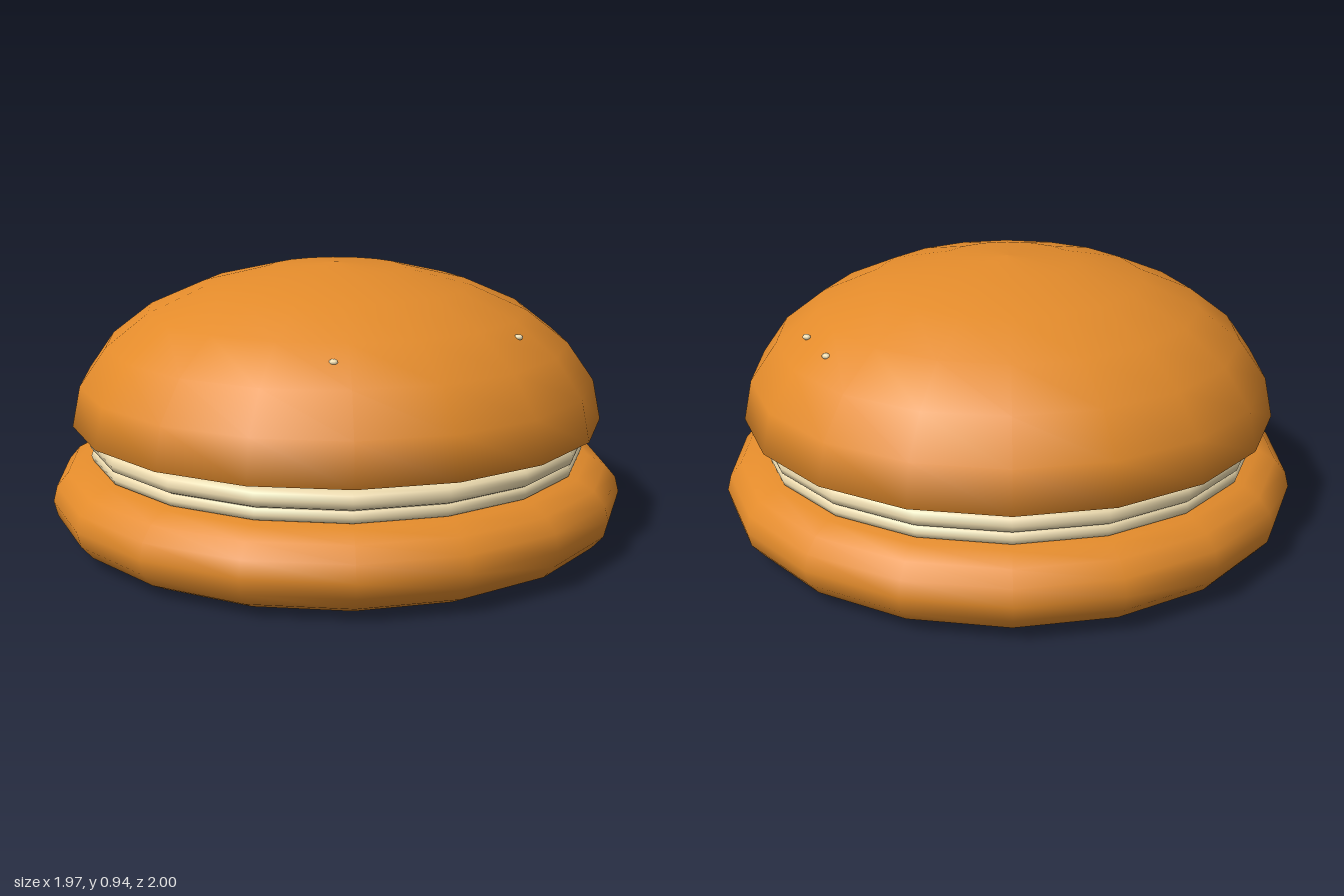
import * as THREE from 'three';

const SIDES = 18;

// Turned part from [radius, height] pairs, listed bottom to top
function turned(name, profile, material) {
  const points = profile.map(([r, y]) => new THREE.Vector2(r, y));
  const mesh = new THREE.Mesh(new THREE.LatheGeometry(points, SIDES), material);
  mesh.name = name;
  return mesh;
}

// Flat disc with a rounded edge
function disc(name, radius, bottom, top, bulge, steps, material) {
  const mid = (bottom + top) / 2, half = (top - bottom) / 2;
  const profile = [[0, bottom], [radius - bulge - 0.02, bottom]];
  for (let i = 0; i <= steps; i++) {
    const a = -Math.PI / 2 + (Math.PI * i) / steps;
    profile.push([radius - bulge + bulge * Math.cos(a), mid + half * Math.sin(a)]);
  }
  profile.push([radius - bulge - 0.02, top], [0, top]);
  return turned(name, profile, material);
}

export function createModel() {
  const group = new THREE.Group();
  group.name = 'burger';
  const bread = new THREE.MeshStandardMaterial({ color: 0xe38b2b });
  const cream = new THREE.MeshStandardMaterial({ color: 0xeedcb0 });

  // Bottom bun and the two filling layers
  group.add(disc('bottomBun', 1, 0, 0.28, 0.18, 8, bread));
  group.add(disc('lowerFilling', 0.865, 0.27, 0.318, 0.02, 4, cream));
  group.add(disc('upperFilling', 0.872, 0.312, 0.372, 0.025, 4, cream));

  // Domed top bun with a slightly tucked underside
  group.add(turned('topBun', [
    [0, 0.37], [0.76, 0.37], [0.83, 0.378], [0.924, 0.402], [0.895, 0.54], [0.803, 0.67],
    [0.66, 0.78], [0.466, 0.865], [0.238, 0.92], [0, 0.937],
  ], bread));

  // Seeds barely poking out of the dome
  const seedGeometry = new THREE.SphereGeometry(0.016, 8, 6);
  const seeds = [[0.415, 0.735, 0.572], [0.697, 0.745, -0.05], [0.342, 0.735, -0.63], [0.178, 0.725, -0.7]];
  seeds.forEach(([x, y, z], i) => {
    const seed = new THREE.Mesh(seedGeometry, cream);
    seed.name = `seed${i + 1}`;
    seed.position.set(x, y, z);
    seed.scale.set(1, 0.6, 0.8);
    group.add(seed);
  });
  return group;
}
